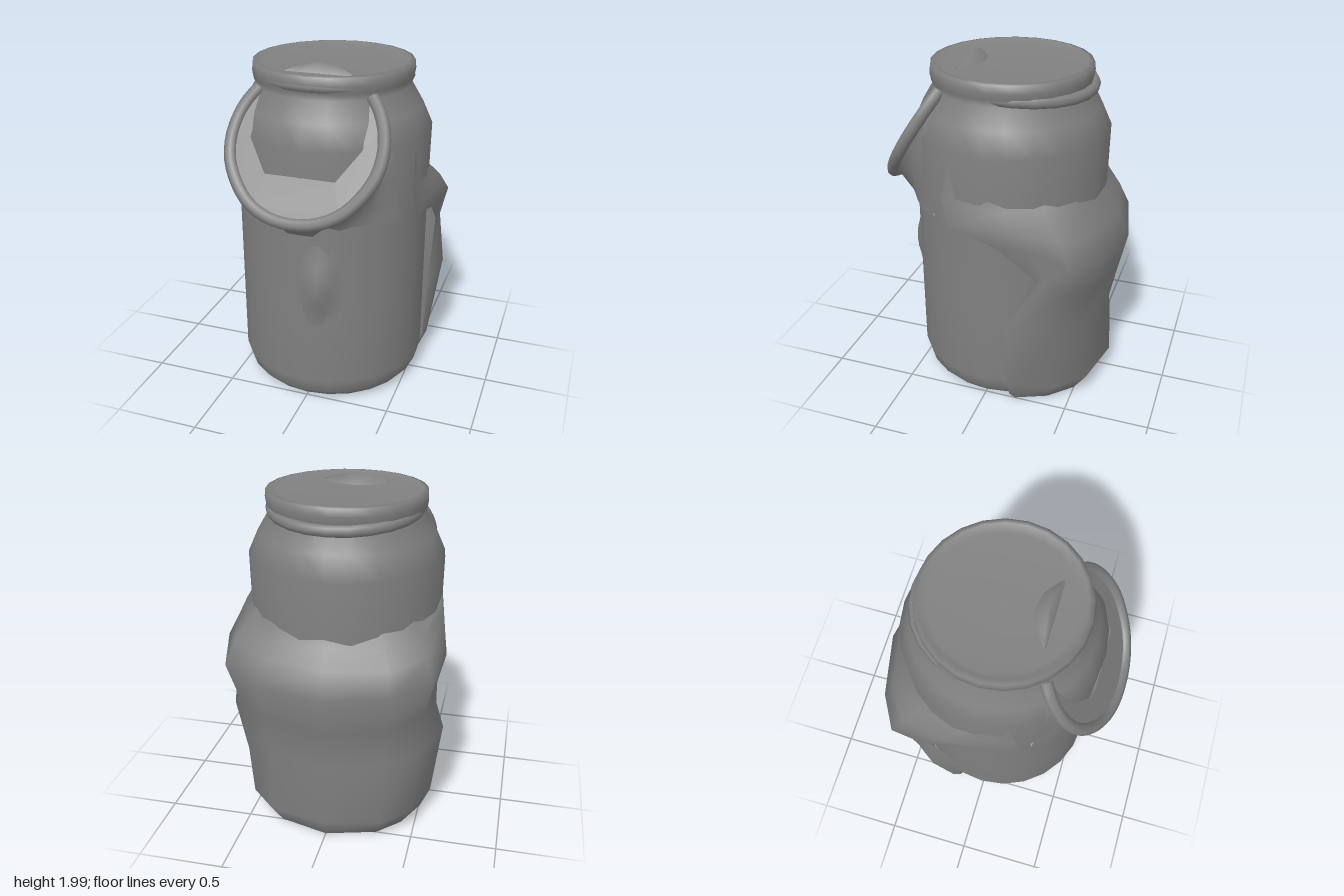
import * as THREE from 'three';

const material = new THREE.MeshStandardMaterial({ color: 0x808080, side: THREE.DoubleSide });

// Skin a surface over rows of [x, y, z] points
function loft(rows) {
  const n = rows[0].length, index = [];
  for (let r = 0; r < rows.length - 1; r++) {
    for (let c = 0; c < n - 1; c++) {
      const a = r * n + c, b = a + n;
      index.push(a, b, a + 1, b, b + 1, a + 1);
    }
  }
  const g = new THREE.BufferGeometry();
  g.setAttribute('position', new THREE.Float32BufferAttribute(rows.flat(2), 3));
  g.setIndex(index);
  g.computeVertexNormals();
  return g;
}

// Turn a half row (centre to +x side) into a full symmetric one, running -x to +x
const mirrorRow = (half) => [
  ...half.slice(1).reverse().map(([x, y, z]) => [-x, y, z]),
  ...half,
];

export function createModel() {
  const group = new THREE.Group();
  const add = (name, geometry) => {
    const mesh = new THREE.Mesh(geometry, material);
    mesh.name = name;
    group.add(mesh);
    return mesh;
  };

  // Can body with recessed base, sloping neck, rolled rim and sunken lid
  const profile = [
    [0, 0.07], [0.36, 0.06], [0.41, 0.03], [0.5, 0.03], [0.535, 0.07], [0.56, 0.16],
    [0.56, 0.6], [0.56, 1.1], [0.568, 1.6], [0.51, 1.73], [0.445, 1.84],
    [0.457, 1.88], [0.463, 1.92], [0.458, 1.965], [0.43, 1.97], [0.39, 1.94], [0, 1.94],
  ].map(([r, y]) => new THREE.Vector2(r, y));
  add('canBody', new THREE.LatheGeometry(profile, 24));

  // Second bead below the rim, dipping towards the back
  const bead = add('neckBead', new THREE.TorusGeometry(0.45, 0.034, 8, 24));
  bead.rotation.x = Math.PI / 2 - 0.07;
  bead.scale.x = 0.94;
  bead.position.set(0, 1.878, -0.015);

  // Pull tab: low ridge standing on the lid
  add('pullTab', loft([
    mirrorRow([[0, 1.94, 0.27], [0.1, 1.94, 0.27], [0.19, 1.94, 0.27]]),
    mirrorRow([[0, 2.0, 0.23], [0.1, 1.98, 0.24], [0.19, 1.95, 0.26]]),
    mirrorRow([[0, 1.94, 0.16], [0.1, 1.94, 0.18], [0.19, 1.94, 0.25]]),
  ].reverse()));

  // Gentle swelling on the front of the can
  const swelling = [];
  for (let r = 0; r <= 8; r++) {
    const v = r / 4 - 1, row = [];
    for (let c = 0; c <= 8; c++) {
      const u = c / 4 - 1, a = 0.17 + u * 0.24;
      const radius = 0.555 + 0.05 * Math.cos(u * Math.PI / 2) ** 2 * Math.cos(v * Math.PI / 2) ** 2;
      row.push([radius * Math.sin(a), 0.8 - v * 0.26, radius * Math.cos(a)]);
    }
    swelling.push(row);
  }
  add('frontSwelling', loft(swelling));

  // Outer edge of the sloping collar, from bottom centre to upper tip
  const slopeZ = (y) => 0.3 + (1.87 - y) * 0.63;
  const edge = [[0, 1.235], [0.13, 1.25], [0.25, 1.3], [0.34, 1.38], [0.41, 1.49],
    [0.43, 1.6], [0.41, 1.71], [0.37, 1.79], [0.32, 1.85]];
  const rim = mirrorRow(edge.map(([x, y]) => [x, y, slopeZ(y) - 0.005]));

  // Rounded collar rim
  const rimCurve = new THREE.CatmullRomCurve3(rim.map((p) => new THREE.Vector3(...p)));
  add('collarRim', new THREE.TubeGeometry(rimCurve, 40, 0.036, 8));

  // Crescent collar face, tilted by moving each point along z
  const inner = [[0.3, 1.84], [0.32, 1.61], [0.2, 1.45]];
  const outline = [...rim.map(([x, y]) => [x, y]), ...inner, ...inner.slice().reverse().map(([x, y]) => [-x, y])];
  const face = new THREE.ShapeGeometry(new THREE.Shape(outline.map(([x, y]) => new THREE.Vector2(x, y))));
  const fp = face.attributes.position;
  for (let i = 0; i < fp.count; i++) fp.setZ(i, slopeZ(fp.getY(i)));
  face.computeVertexNormals();
  add('collarFace', face);

  // Cape under the collar, running down to a ragged hem tucked against the can
  const hemY = [1.12, 1.12, 1.18, 1.16, 1.18, 1.18, 1.17, 1.17, 1.17];
  const canRadius = (y) => (y < 1.6 ? 0.574 : 0.574 - (y - 1.6) * 0.46);
  const capeRows = [];
  for (let r = 0; r <= 5; r++) {
    const t = r / 5;
    capeRows.push(mirrorRow(edge.map(([ex, ey], i) => {
      const a = (i / (edge.length - 1)) * 1.02;
      const x = ex + (0.578 * Math.sin(a) - ex) * t;
      const y = ey + (hemY[i] - ey) * t;
      const z0 = slopeZ(ey) - 0.01;
      const z = z0 + (0.578 * Math.cos(a) - z0) * t;
      const k = Math.max(1, canRadius(y) / Math.hypot(x, z));
      return [x * k, y, z * k];
    })));
  }
  add('cape', loft(capeRows));
  const capeHem = capeRows[capeRows.length - 1];
  add('capeHem', loft([capeHem, capeHem.map(([x, y, z]) => [x * 0.95, y + 0.01, z * 0.95])]));

  // Draped jacket back: half rows from the centre back to the open front edge
  const jacket = [
    [[0, 1.3, -0.55], [0.3, 1.3, -0.475], [0.45, 1.33, -0.33], [0.555, 1.36, -0.04], [0.535, 1.53, 0.18]],
    [[0, 1.22, -0.59], [0.33, 1.22, -0.52], [0.5, 1.25, -0.38], [0.585, 1.3, -0.11], [0.54, 1.32, 0.23]],
    [[0, 1.12, -0.65], [0.36, 1.13, -0.58], [0.55, 1.17, -0.45], [0.61, 1.22, -0.2], [0.555, 1.16, 0.19]],
    [[0, 0.98, -0.72], [0.38, 1.0, -0.64], [0.59, 1.04, -0.52], [0.635, 1.14, -0.31], [0.58, 1.09, -0.1]],
    [[0, 0.75, -0.67], [0.36, 0.77, -0.59], [0.54, 0.83, -0.47], [0.58, 0.93, -0.38], [0.565, 0.92, -0.32]],
    [[0, 0.5, -0.62], [0.34, 0.52, -0.55], [0.52, 0.56, -0.43], [0.635, 0.66, -0.28], [0.575, 0.55, -0.14]],
    [[0, 0.14, -0.65], [0.33, 0.14, -0.58], [0.49, 0.14, -0.42], [0.57, 0.16, -0.2], [0.555, 0.16, -0.15]],
    [[0, 0.01, -0.58], [0.29, 0.01, -0.5], [0.42, 0.01, -0.37], [0.51, 0.02, -0.19], [0.5, 0.03, -0.15]],
  ].map((half) => mirrorRow(half).reverse());
  add('jacketBack', loft(jacket));

  // Jacket underside closing against the base of the can
  const hem = jacket[jacket.length - 1];
  add('jacketHem', loft([hem, hem.map(([x, , z]) => [x * 0.8, 0.03, z * 0.8])]));

  return group;
}
